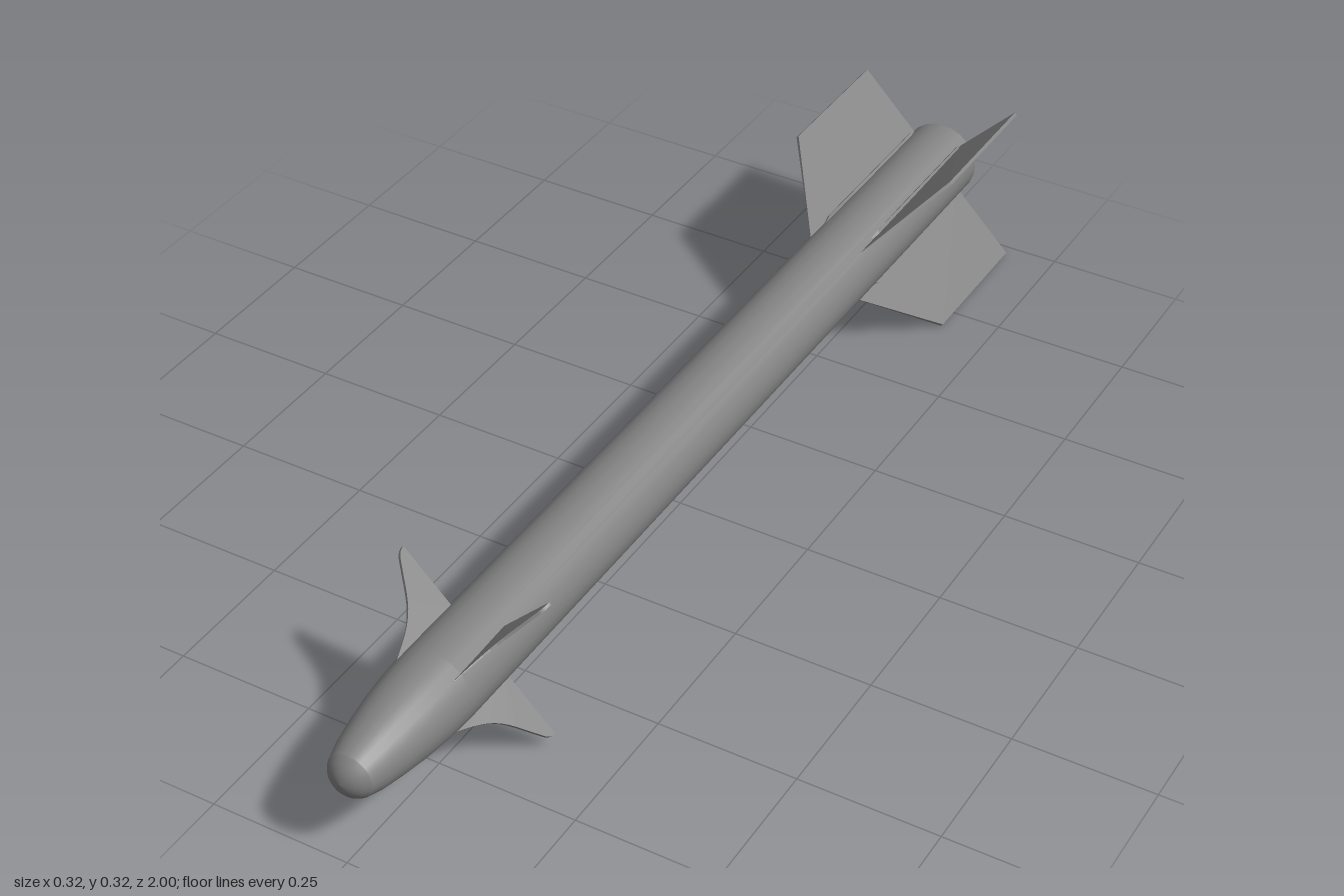
import * as THREE from 'three';

const AXIS_Y = 0.16, R = 0.0727;

export function createModel() {
  const group = new THREE.Group();
  const mat = new THREE.MeshStandardMaterial({ color: 0x828282 });
  const add = (geo, name) => {
    const mesh = new THREE.Mesh(geo, mat);
    mesh.name = name;
    mesh.position.y = AXIS_Y;
    group.add(mesh);
    return mesh;
  };

  // Profiles are [radius, z], spun about the long axis
  const spin = (pts, name) => add(
    new THREE.LatheGeometry(pts.map(p => new THREE.Vector2(...p)), 24).rotateX(Math.PI / 2), name);

  // Body tube, pointed nose and rounded tip
  spin([[R, -0.995], [R, 0.75]], 'bodyTube');
  spin([[R, 0.75], [0.0705, 0.8], [0.066, 0.85], [0.0585, 0.9], [0.05, 0.945], [0.041, 0.975]], 'noseCone');
  spin([[0.041, 0.975], [0.033, 0.986], [0.022, 0.994], [0.011, 0.9985], [0, 1]], 'noseTip');

  // Rear rim, recessed nozzle and its end plate
  spin([[0.069, -1], [R, -0.995]], 'rearBevel');
  spin([[0.054, -1], [0.069, -1]], 'rearRim');
  spin([[0.05, -0.975], [0.054, -1]], 'nozzleWall');
  spin([[0.043, -0.975], [0.05, -0.975]], 'nozzleStep');
  spin([[0.043, -0.985], [0.043, -0.975]], 'nozzlePlugSide');
  spin([[0, -0.985], [0.043, -0.985]], 'nozzlePlug');

  // Thin plate from a (z, radius) outline, thinning towards the leading edge
  const finGeometry = (shape, thick, zFront, zThick) => {
    const geo = new THREE.ExtrudeGeometry(shape, { depth: thick, bevelEnabled: false, curveSegments: 10 });
    geo.translate(0, 0, -thick / 2).rotateY(-Math.PI / 2);
    const p = geo.attributes.position;
    for (let i = 0; i < p.count; i++) {
      p.setX(i, p.getX(i) * THREE.MathUtils.clamp((zFront - p.getZ(i)) / (zFront - zThick), 0.2, 1));
    }
    geo.computeVertexNormals();
    return geo;
  };

  // Tail fin: clipped delta
  const tail = new THREE.Shape();
  tail.moveTo(-0.975, 0.06);
  tail.lineTo(-0.555, 0.06);
  tail.lineTo(-0.56, 0.073);
  tail.lineTo(-0.7, 0.222);
  tail.lineTo(-0.975, 0.222);
  tail.closePath();

  // Front fin: swept with a hollow leading edge
  const canard = new THREE.Shape();
  canard.moveTo(0.625, 0.06);
  canard.lineTo(0.775, 0.06);
  canard.lineTo(0.77, 0.073);
  canard.bezierCurveTo(0.69, 0.105, 0.69, 0.12, 0.645, 0.18);
  canard.quadraticCurveTo(0.637, 0.19, 0.625, 0.191);
  canard.closePath();

  // Narrow fairing along the root of each tail fin
  const fairing = new THREE.Shape();
  fairing.moveTo(-0.96, 0.06);
  fairing.lineTo(-0.56, 0.06);
  fairing.lineTo(-0.63, 0.077);
  fairing.lineTo(-0.96, 0.077);
  fairing.closePath();

  const parts = [
    ['tailFin', finGeometry(tail, 0.006, -0.555, -0.7)],
    ['frontFin', finGeometry(canard, 0.005, 0.775, 0.68)],
    ['tailFinFairing', finGeometry(fairing, 0.014, -0.555, -0.63)],
  ];
  for (let i = 0; i < 4; i++) {
    for (const [name, geo] of parts) {
      add(geo, name + (i + 1)).rotation.z = Math.PI / 4 + i * Math.PI / 2;
    }
  }
  return group;
}
